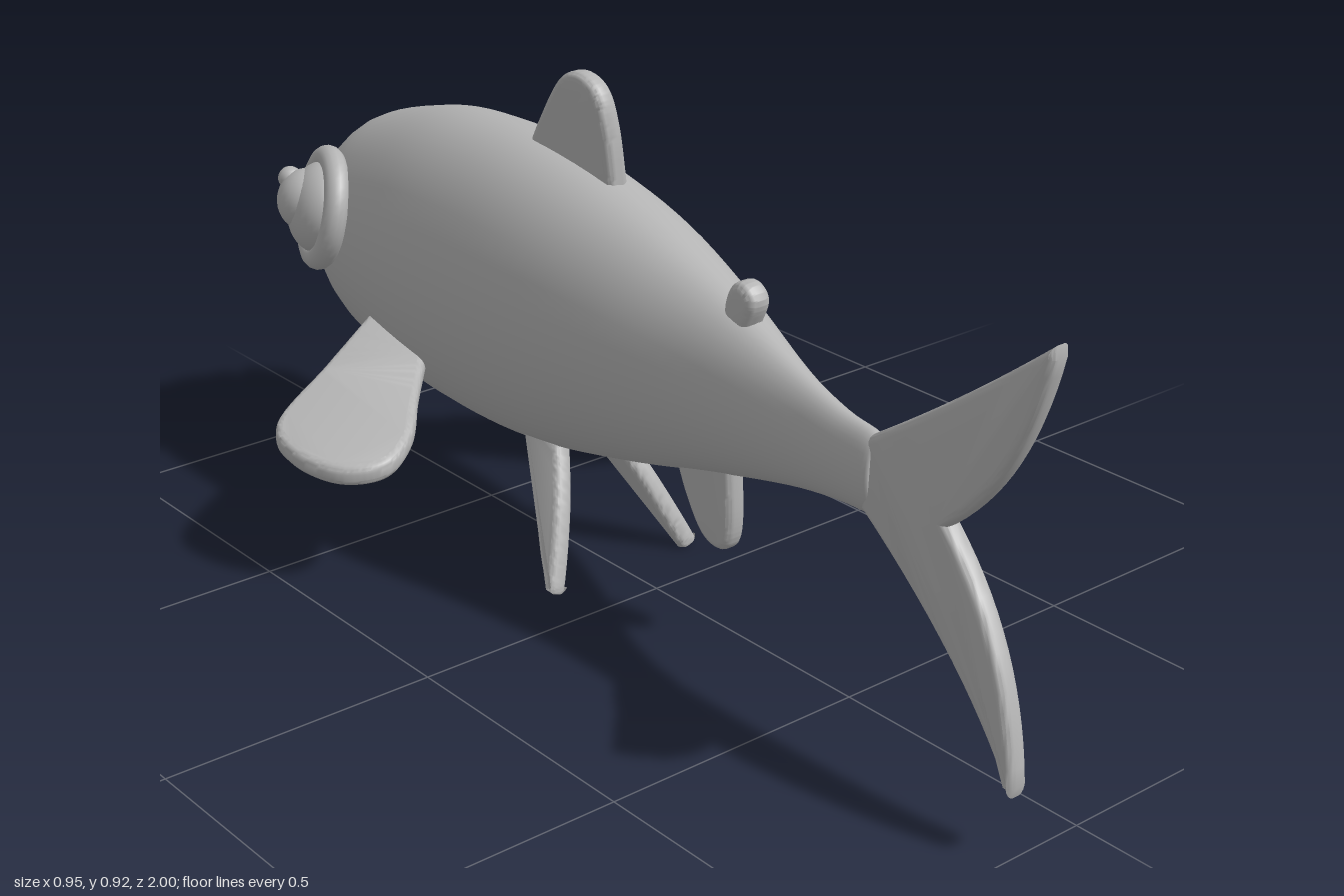
import * as THREE from 'three';
import { toCreasedNormals } from 'three/addons/utils/BufferGeometryUtils.js';

const clay = new THREE.MeshStandardMaterial({ color: 0xb4b4b4 });
clay.name = 'clay grey';

function add(parent, name, geometry) {
  const mesh = new THREE.Mesh(geometry, clay);
  mesh.name = name;
  parent.add(mesh);
  return mesh;
}

// Lofted body: elliptical rings along z, [z, centre x, half width, top y, bottom y]
function bodyGeometry() {
  const rows = [
    [-0.985, 0, 0.002, 0.442, 0.438], [-0.98, 0, 0.04, 0.49, 0.39], [-0.95, 0, 0.085, 0.575, 0.355],
    [-0.9, 0, 0.122, 0.635, 0.315], [-0.8, 0, 0.158, 0.705, 0.255], [-0.6, 0, 0.183, 0.765, 0.207],
    [-0.4, 0, 0.188, 0.78, 0.197], [-0.2, -0.004, 0.178, 0.762, 0.217], [0, -0.008, 0.15, 0.717, 0.26],
    [0.2, -0.018, 0.102, 0.65, 0.315], [0.4, -0.042, 0.053, 0.58, 0.37], [0.52, -0.055, 0.036, 0.55, 0.393],
    [0.6, -0.06, 0.03, 0.54, 0.4], [0.612, -0.061, 0.018, 0.52, 0.42], [0.614, -0.061, 0.001, 0.471, 0.469],
  ];
  const width = new THREE.CatmullRomCurve3(rows.map(r => new THREE.Vector3(r[0], r[1], r[2])), false, 'catmullrom');
  const height = new THREE.CatmullRomCurve3(rows.map(r => new THREE.Vector3(r[0], r[3], r[4])), false, 'catmullrom');
  const rings = 70, sides = 32, pos = [], index = [];
  for (let i = 0; i <= rings; i++) {
    const w = width.getPoint(i / rings), h = height.getPoint(i / rings);
    for (let j = 0; j < sides; j++) {
      const a = j / sides * Math.PI * 2;
      pos.push(w.y + Math.cos(a) * w.z, (h.y + h.z) / 2 + Math.sin(a) * (h.y - h.z) / 2, w.x);
      if (i < rings) {
        const k = i * sides, n = (j + 1) % sides;
        index.push(k + j, k + n, k + sides + j, k + n, k + sides + n, k + sides + j);
      }
    }
  }
  const g = new THREE.BufferGeometry();
  g.setAttribute('position', new THREE.Float32BufferAttribute(pos, 3));
  g.setIndex(index);
  g.computeVertexNormals();
  return g;
}

// Fin: outline with rounded rim, each vertex (a, b, thickness) placed by a rule
function finGeometry(shape, thickness, place) {
  const bevel = thickness * 0.35;
  const g = new THREE.ExtrudeGeometry(shape, {
    depth: thickness - 2 * bevel, bevelThickness: bevel, bevelSize: bevel,
    bevelOffset: -bevel, bevelSegments: 4, curveSegments: 14,
  });
  g.translate(0, 0, bevel - thickness / 2);
  const p = g.attributes.position;
  for (let i = 0; i < p.count; i++) p.setXYZ(i, ...place(p.getX(i), p.getY(i), p.getZ(i)));
  return toCreasedNormals(g, 0.6);
}

// Closed outline: straight root from last point to first, smooth curve between
function leaf(points) {
  const s = new THREE.Shape();
  s.moveTo(...points[0]);
  s.splineThru(points.slice(1).map(p => new THREE.Vector2(...p)));
  s.closePath();
  return s;
}

function addEye(parent) {
  const eye = new THREE.Group();
  eye.name = 'eye';
  eye.position.set(0.148, 0.54, -0.82);
  eye.quaternion.setFromUnitVectors(new THREE.Vector3(0, 0, 1), new THREE.Vector3(0.9, 0.22, -0.33).normalize());
  parent.add(eye);
  add(eye, 'eyeSocketRing', new THREE.TorusGeometry(0.096, 0.024, 14, 40));
  const ball = add(eye, 'eyeball', new THREE.SphereGeometry(0.088, 32, 20));
  ball.position.z = 0.005;
  ball.scale.z = 0.7;
  const pupil = add(eye, 'pupil', new THREE.SphereGeometry(0.06, 28, 18));
  pupil.position.set(0.01, 0.012, 0.032);
  pupil.scale.z = 0.9;
  add(eye, 'eyeHighlight', new THREE.SphereGeometry(0.023, 18, 12)).position.set(0.025, 0.05, 0.062);
}

export function createModel() {
  const fish = new THREE.Group();
  fish.name = 'fish';
  add(fish, 'body', bodyGeometry());

  // Round lips
  const lips = add(fish, 'lips', new THREE.TorusGeometry(0.068, 0.03, 16, 40));
  lips.position.set(0, 0.437, -0.97);

  // Upright fins: outline in (-z, y)
  const dorsal = leaf([[0.1, 0.74], [0.108, 0.84], [0.13, 0.905], [0.18, 0.928], [0.235, 0.905], [0.3, 0.82], [0.35, 0.74]]);
  add(fish, 'dorsalFin', finGeometry(dorsal, 0.042, (a, b, t) => [t + 0.002 - (b - 0.75) * 0.08, b, -a]));

  const small = leaf([[-0.285, 0.6], [-0.305, 0.645], [-0.3, 0.67], [-0.275, 0.685], [-0.25, 0.675], [-0.235, 0.645], [-0.23, 0.6]]);
  add(fish, 'smallRearFin', finGeometry(small, 0.048, (a, b, t) => [t - 0.033, b, -a]));

  const anal = leaf([[-0.245, 0.35], [-0.25, 0.25], [-0.24, 0.195], [-0.21, 0.182], [-0.17, 0.2], [-0.13, 0.26], [-0.1, 0.33]]);
  add(fish, 'analFin', finGeometry(anal, 0.042, (a, b, t) => [t - 0.03, b, -a]));

  // Forked tail, swept towards the right
  const tail = new THREE.Shape();
  tail.moveTo(-0.59, 0.53);
  tail.quadraticCurveTo(-0.8, 0.665, -0.995, 0.82);
  tail.lineTo(-1, 0.8);
  tail.quadraticCurveTo(-0.955, 0.59, -0.8, 0.465);
  tail.quadraticCurveTo(-0.97, 0.34, -1, 0.125);
  tail.lineTo(-0.995, 0.108);
  tail.quadraticCurveTo(-0.88, 0.265, -0.59, 0.41);
  tail.closePath();
  add(fish, 'tailFin', finGeometry(tail, 0.042, (a, b, t) =>
    [t - 0.06 - (-a - 0.6) * 0.15 + (b - 0.46) * 0.05, b, -a]));

  // Paired parts, mirrored
  const pectoral = leaf([[0.14, 0.67], [0.3, 0.595], [0.45, 0.525], [0.475, 0.44], [0.44, 0.345], [0.365, 0.303],
    [0.285, 0.34], [0.215, 0.42], [0.14, 0.5]]);
  const pelvic = leaf([[0.315, 0.265], [0.22, 0.15], [0.14, 0.045], [0.092, 0.007], [0.1, 0.05], [0.14, 0.15], [0.19, 0.24]]);
  for (const side of [1, -1]) {
    const half = new THREE.Group();
    half.name = side > 0 ? 'leftSide' : 'rightSide';
    half.scale.x = side;
    fish.add(half);
    addEye(half);
    add(half, 'pectoralFin', finGeometry(pectoral, 0.038, (a, b, t) =>
      [a, t + 0.31 - (a - 0.18) * 0.2 - (0.47 - b) * 0.22, -b]));
    add(half, 'pelvicFin', finGeometry(pelvic, 0.036, (a, b, t) =>
      [t + 0.06 + (0.235 - b) * 0.42, b + t * 0.35, -a]));
  }
  return fish;
}
